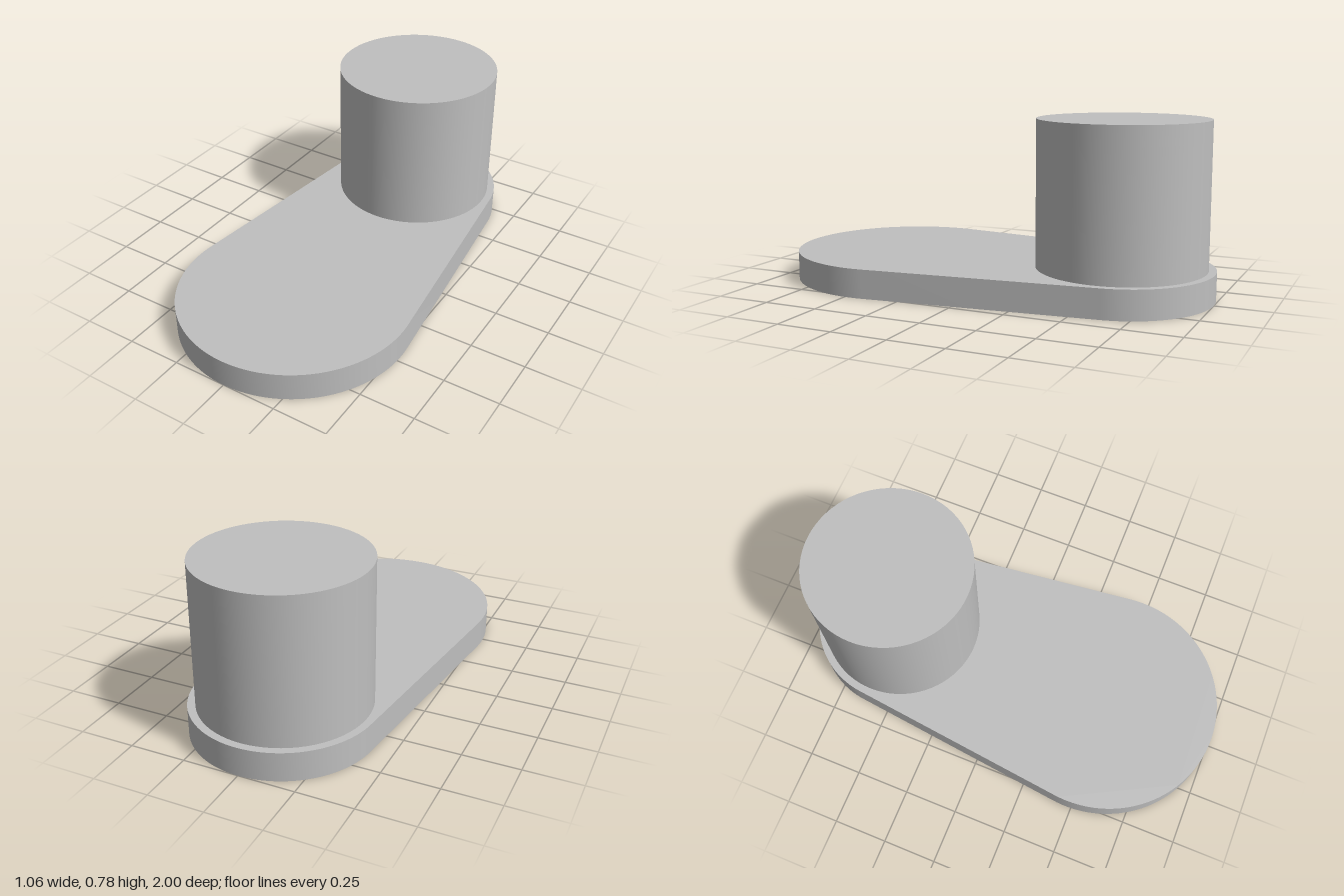
import * as THREE from 'three';
import { toCreasedNormals } from 'three/addons/utils/BufferGeometryUtils.js';

export function createModel() {
  const model = new THREE.Group();
  model.name = 'crankArm';
  const grey = new THREE.MeshStandardMaterial({ color: 0xbfbfbf });
  grey.name = 'plain grey';

  const plateTop = 0.13, seam = 0.693, pinTop = 0.78;
  const pinZ = -0.59, pinRadius = 0.376;
  const wide = { z: 0.47, r: 0.53 };
  const narrow = { z: pinZ, r: 0.41 };

  function add(name, geometry, y = 0, z = 0) {
    const mesh = new THREE.Mesh(geometry, grey);
    mesh.name = name;
    mesh.position.set(0, y, z);
    model.add(mesh);
  }

  // Tapered plate: two arcs joined by their common tangents
  const tilt = Math.asin((wide.r - narrow.r) / (wide.z - narrow.z));
  const outline = new THREE.Shape();
  outline.absarc(0, -narrow.z, narrow.r, tilt, Math.PI - tilt, false);
  outline.absarc(0, -wide.z, wide.r, Math.PI - tilt, 2 * Math.PI + tilt, false);
  outline.closePath();
  const plate = new THREE.ExtrudeGeometry(outline, {
    depth: plateTop, bevelEnabled: false, curveSegments: 48,
  });
  plate.rotateX(-Math.PI / 2);
  add('basePlate', toCreasedNormals(plate, 0.6));

  // Upright pin, closed by a short cap section above the seam
  const pin = new THREE.CylinderGeometry(pinRadius, pinRadius, seam - plateTop, 72, 1, true);
  add('pin', pin, (seam + plateTop) / 2, pinZ);
  const cap = new THREE.CylinderGeometry(pinRadius, pinRadius, pinTop - seam, 72);
  add('pinCap', cap, (pinTop + seam) / 2, pinZ);

  return model;
}
